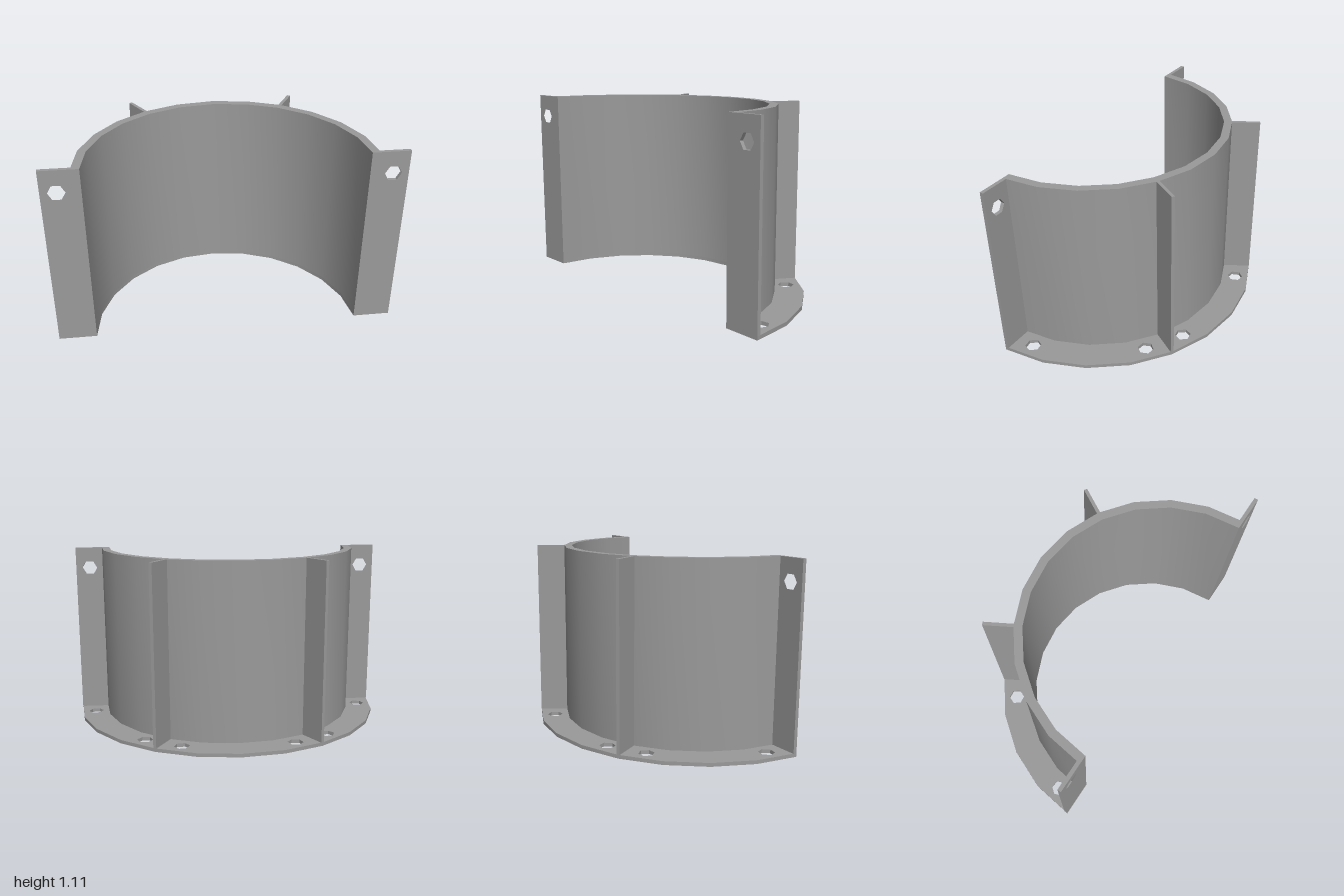
import * as THREE from 'three';
import { toCreasedNormals } from 'three/addons/utils/BufferGeometryUtils.js';

const INNER = 0.781, WALL = 0.83, OUTER = 1, HOLE_RING = 0.909;
const THICK = 0.022, HEIGHT = 1.113, SEGMENTS = 12, AXIS_Z = 0.5;
const rad = THREE.MathUtils.degToRad;
const polar = (r, a) => new THREE.Vector2(r * Math.cos(a), r * Math.sin(a));

// Half ring made of straight segments
function halfRing(inner, outer) {
  const arc = r => Array.from({ length: SEGMENTS + 1 }, (_, i) => polar(r, (i * Math.PI) / SEGMENTS));
  return new THREE.Shape([...arc(outer), ...arc(inner).reverse()]);
}

// Hexagonal bolt hole, turned by angle
function hexHole(x, y, angle) {
  const pts = Array.from({ length: 6 }, (_, i) =>
    polar(0.048, angle - (i * Math.PI) / 3).add(new THREE.Vector2(x, y)));
  return new THREE.Path(pts);
}

const extrude = (shape, depth) => new THREE.ExtrudeGeometry(shape, { depth, bevelEnabled: false });

export function createModel() {
  const model = new THREE.Group();
  model.name = 'halfCollar';
  const material = new THREE.MeshStandardMaterial({ color: 0x9a9a9a });
  const add = (name, geometry) => {
    const mesh = new THREE.Mesh(toCreasedNormals(geometry, rad(30)), material);
    mesh.name = name;
    model.add(mesh);
  };
  // Lay a plan shape flat, rising from y
  const plan = (shape, y, height) => extrude(shape, height).rotateX(-Math.PI / 2).translate(0, y, AXIS_Z);

  // Base flange with bolt holes beside the tabs and ribs
  const flange = halfRing(INNER, OUTER);
  for (const deg of [8.3, 52, 68, 112, 128, 171.7]) {
    const p = polar(HOLE_RING, rad(deg));
    flange.holes.push(hexHole(p.x, p.y, rad(deg)));
  }
  add('baseFlange', plan(flange, 0, THICK));

  // Curved wall
  add('curvedWall', plan(halfRing(INNER, WALL), THICK, HEIGHT - THICK));

  for (const side of [1, -1]) {
    const label = side > 0 ? 'left' : 'right';

    // Flat end tab with one bolt hole near the top
    const a = side * 0.82, b = side * OUTER;
    const tab = new THREE.Shape([[a, THICK], [b, THICK], [b, HEIGHT], [a, HEIGHT]]
      .map(([x, y]) => new THREE.Vector2(x, y)));
    tab.holes.push(hexHole(side * 0.912, 0.98, 0));
    add(label + 'EndTab', extrude(tab, THICK).translate(0, 0, AXIS_Z - THICK));

    // Upright radial rib
    const start = WALL - 0.015, angle = rad(side > 0 ? 60 : 120);
    const rib = new THREE.BoxGeometry(OUTER - start, HEIGHT - THICK, 0.02)
      .translate((OUTER + start) / 2, (HEIGHT + THICK) / 2, 0)
      .rotateY(angle)
      .translate(0, 0, AXIS_Z);
    add(label + 'Rib', rib);
  }
  return model;
}
